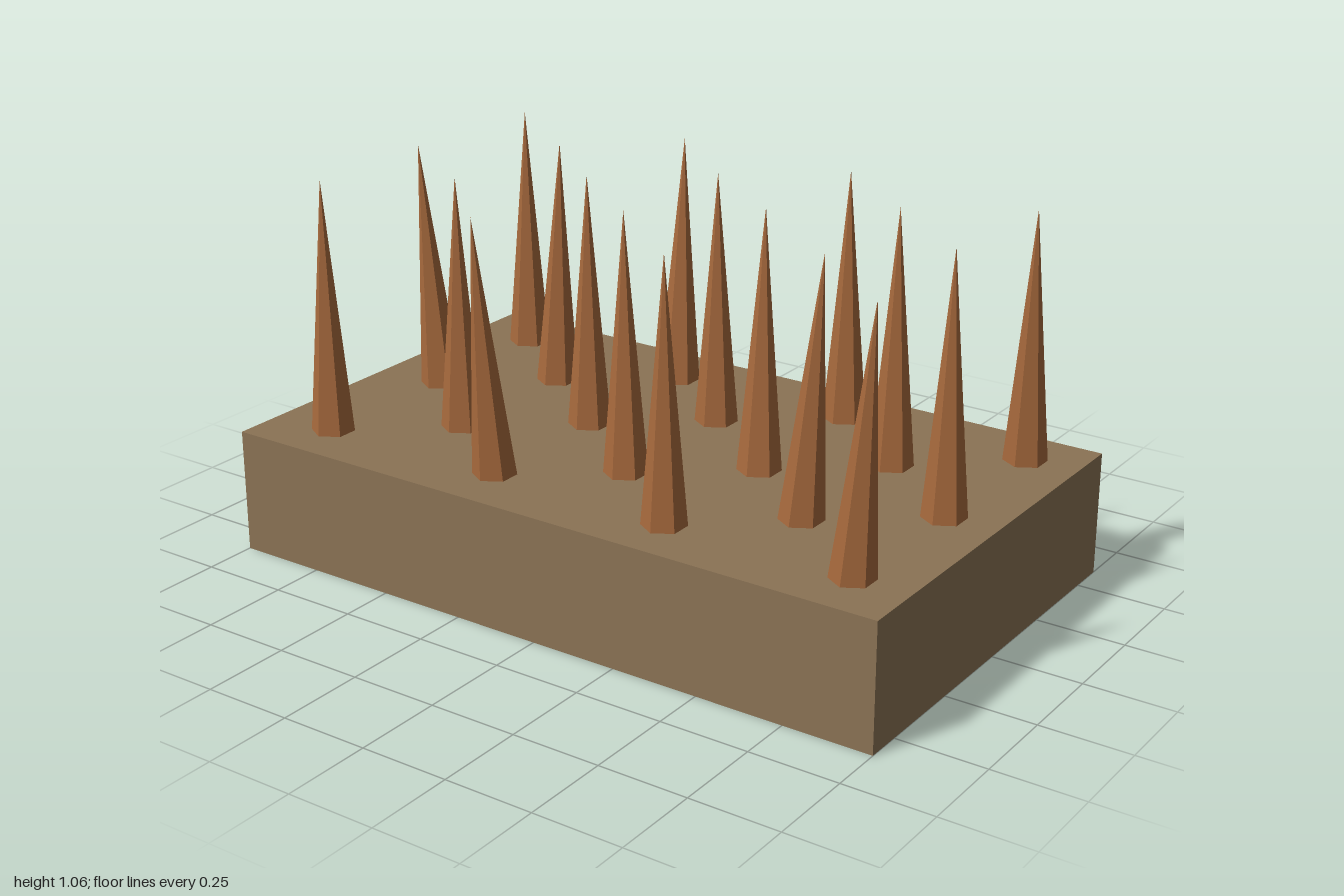
import * as THREE from 'three';

const BASE_TOP = 0.35, TIP = 1.06, RADIUS = 0.06;

// Each spike: foot x, foot z, and how far its tip leans in x and z
const SPIKES = [
  [-0.805, -0.43, 0, 0], [-0.25, -0.42, -0.005, -0.035], [0.3, -0.43, 0, 0], [0.85, -0.443, 0.02, 0.048],
  [-0.535, -0.215, 0.025, 0.005], [0.02, -0.21, 0, 0], [0.575, -0.21, 0, 0],
  [-0.795, -0.005, -0.03, 0.03], [-0.255, 0.007, 0, 0], [0.305, 0.015, -0.01, -0.03], [0.85, 0.007, 0, 0],
  [-0.53, 0.222, 0, 0], [0.028, 0.23, -0.013, -0.015], [0.563, 0.222, 0.047, -0.004],
  [-0.805, 0.445, 0, 0], [-0.25, 0.432, -0.015, 0.048], [0.3, 0.445, 0, 0], [0.84, 0.44, 0.05, 0.015],
];

// Six-sided cone standing on y = 0, sheared so that its tip leans
function spikeGeometry(leanX, leanZ) {
  const height = TIP - BASE_TOP;
  const geometry = new THREE.ConeGeometry(RADIUS, height, 6);
  geometry.translate(0, height / 2, 0);
  const p = geometry.attributes.position;
  for (let i = 0; i < p.count; i++) {
    const t = p.getY(i) / height;
    p.setX(i, p.getX(i) + leanX * t);
    p.setZ(i, p.getZ(i) + leanZ * t);
  }
  geometry.computeVertexNormals();
  return geometry;
}

export function createModel() {
  const model = new THREE.Group();
  model.name = 'spikeBed';

  // Solid slab
  const slab = new THREE.Mesh(
    new THREE.BoxGeometry(2, BASE_TOP, 1.2),
    new THREE.MeshStandardMaterial({ color: 0x8b7355 })
  );
  slab.name = 'slab';
  slab.position.y = BASE_TOP / 2;
  model.add(slab);

  // Staggered rows of spikes
  const spikes = new THREE.Group();
  spikes.name = 'spikes';
  const wood = new THREE.MeshStandardMaterial({ color: 0xa86a3d, flatShading: true });
  for (const [x, z, leanX, leanZ] of SPIKES) {
    const spike = new THREE.Mesh(spikeGeometry(leanX, leanZ), wood);
    spike.name = 'spike';
    spike.position.set(x, BASE_TOP, z);
    spikes.add(spike);
  }
  model.add(spikes);
  return model;
}
